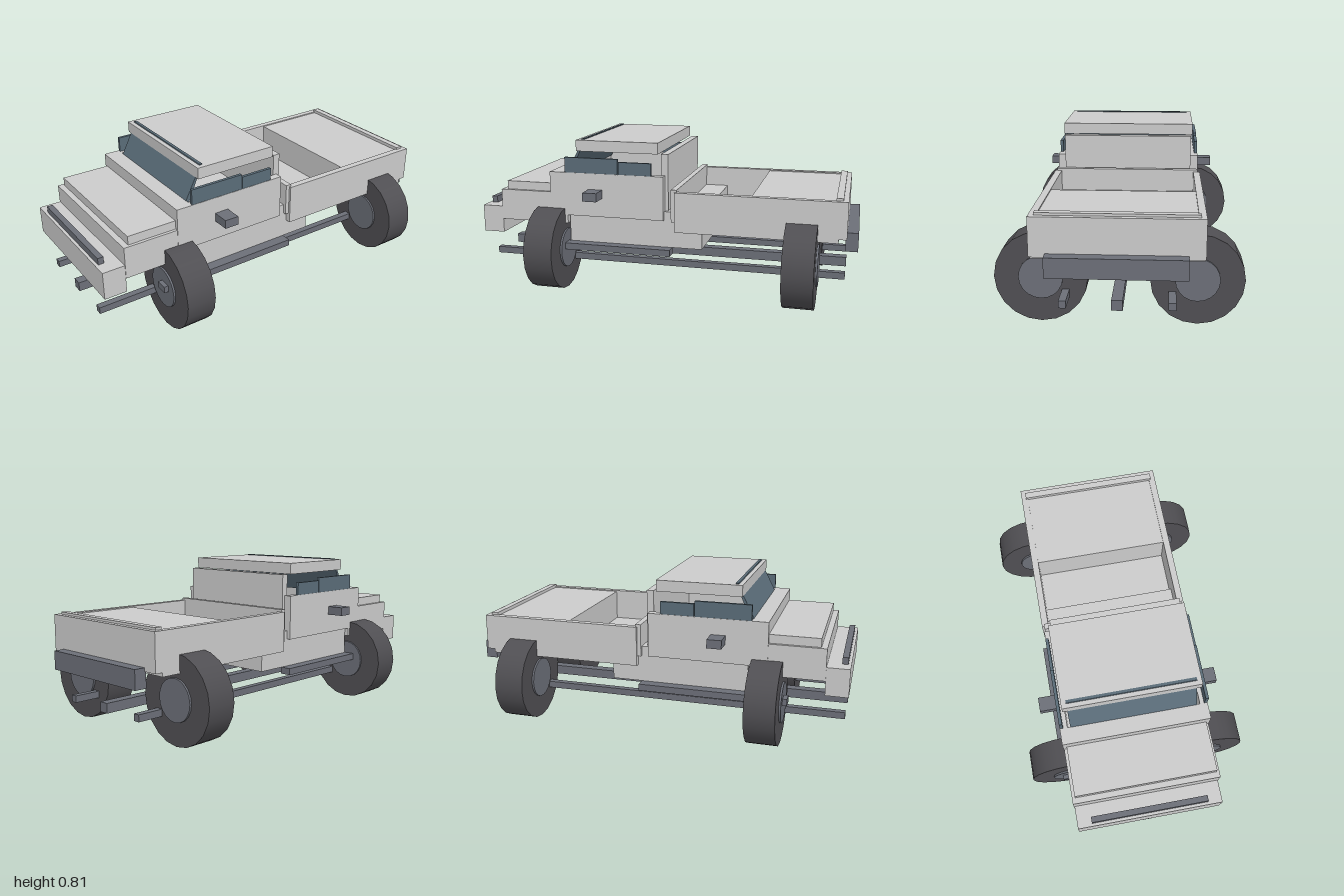
import * as THREE from 'three';

const material = (color, extra = {}) => new THREE.MeshStandardMaterial({ color, ...extra });
const paint = material(0xcccccc);
const trim = material(0x6c6f78);
const rubber = material(0x504f53);
const glass = material(0x5a6c78);

export function createModel() {
  const truck = new THREE.Group();
  truck.name = 'pickupTruck';

  const add = (name, geometry, mat, x, y, z) => {
    const mesh = new THREE.Mesh(geometry, mat);
    mesh.name = name;
    mesh.position.set(x, y, z);
    truck.add(mesh);
    return mesh;
  };
  // Box given by its limits on each axis
  const box = (name, mat, x0, x1, y0, y1, z0, z1) =>
    add(name, new THREE.BoxGeometry(x1 - x0, y1 - y0, z1 - z0), mat,
      (x0 + x1) / 2, (y0 + y1) / 2, (z0 + z1) / 2);
  // Box spanning the width symmetrically
  const wide = (name, mat, x0, x1, y0, y1, half) =>
    box(name, mat, x0, x1, y0, y1, -half, half);
  // Mirrored pair of boxes
  const pair = (name, mat, x0, x1, y0, y1, z0, z1) => {
    box(name, mat, x0, x1, y0, y1, z0, z1);
    box(name, mat, x0, x1, y0, y1, -z1, -z0);
  };

  // Nose, hood and front bumper
  wide('nose', paint, -0.885, -0.505, 0.36, 0.525, 0.383);
  wide('hood', paint, -0.855, -0.59, 0.525, 0.57, 0.367);
  wide('frontBumper', paint, -1.0, -0.885, 0.285, 0.43, 0.38);
  wide('bumperBar', trim, -0.985, -0.955, 0.43, 0.465, 0.305);

  // Cab
  wide('cabFloor', paint, -0.5, 0.22, 0.26, 0.45, 0.365);
  wide('cowl', paint, -0.6, -0.515, 0.405, 0.635, 0.385);
  pair('door', paint, -0.515, 0.02, 0.405, 0.635, 0.345, 0.385);
  wide('cabBackWall', paint, 0.0, 0.037, 0.4, 0.745, 0.345);
  wide('roof', paint, -0.46, -0.015, 0.745, 0.803, 0.355);
  pair('frontSideWindow', glass, -0.515, -0.225, 0.63, 0.715, 0.367, 0.383);
  pair('rearSideWindow', glass, -0.22, -0.045, 0.63, 0.7, 0.367, 0.383);
  pair('mirror', trim, -0.385, -0.31, 0.505, 0.55, 0.385, 0.475);

  // Sloping windshield, extruded across the cab
  const pane = new THREE.Shape([
    [-0.53, 0.61], [-0.505, 0.61], [-0.42, 0.808], [-0.435, 0.808], [-0.46, 0.745],
  ].map(([x, y]) => new THREE.Vector2(x, y)));
  add('windshield', new THREE.ExtrudeGeometry(pane, { depth: 0.66, bevelEnabled: false }),
    glass, 0, 0, -0.33);

  // Cargo bed
  wide('bedFloor', paint, 0.08, 0.905, 0.35, 0.385, 0.385);
  pair('bedSide', paint, 0.08, 0.905, 0.35, 0.558, 0.36, 0.395);
  wide('bedFrontWall', paint, 0.06, 0.09, 0.4, 0.57, 0.383);
  wide('bedCover', paint, 0.47, 0.91, 0.38, 0.552, 0.362);
  wide('tailgate', paint, 0.905, 0.945, 0.37, 0.558, 0.395);
  wide('tailgateLip', paint, 0.885, 0.92, 0.54, 0.57, 0.37);
  wide('rearBumper', trim, 0.937, 1.0, 0.292, 0.388, 0.32);

  // Side steps and chassis rails
  pair('sideStep', trim, -0.708, 0.062, 0.225, 0.26, 0.36, 0.42);
  wide('centreRail', trim, -0.985, 0.942, 0.12, 0.17, 0.026);
  pair('sideRail', trim, -0.985, 0.942, 0.126, 0.161, 0.232, 0.267);

  // Wheels, turned on the lengthwise axis
  const tyre = new THREE.CylinderGeometry(0.221, 0.221, 0.155, 20).rotateZ(Math.PI / 2);
  const hub = new THREE.CylinderGeometry(0.105, 0.105, 0.175, 20).rotateZ(Math.PI / 2);
  for (const x of [-0.598, 0.727]) {
    for (const z of [-0.366, 0.366]) {
      add('tyre', tyre, rubber, x, 0.221, z);
      add('hub', hub, trim, x, 0.222, z);
    }
  }
  return truck;
}
